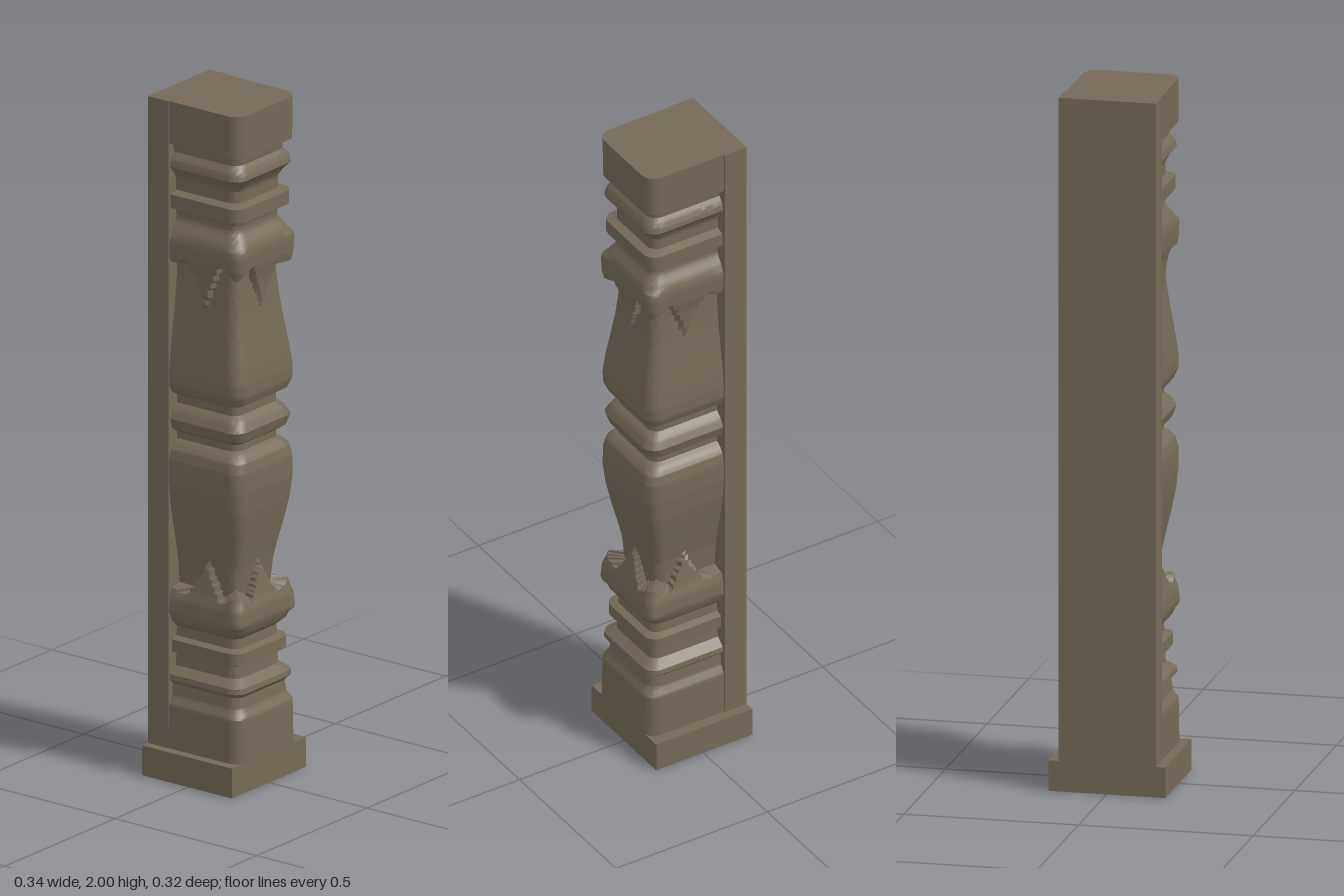
import * as THREE from 'three';
import { toCreasedNormals } from 'three/addons/utils/BufferGeometryUtils.js';

// [height, half width] of the turned and carved post, bottom to top
const PROFILE = [
  [0.08, 0.138], [0.215, 0.136], [0.24, 0.122], [0.275, 0.118], [0.29, 0.133], [0.305, 0.131], [0.325, 0.105],
  [0.36, 0.102], [0.37, 0.122], [0.405, 0.122], [0.412, 0.102], [0.44, 0.1], [0.455, 0.1], [0.5, 0.09],
  [0.57, 0.088], [0.64, 0.094], [0.7, 0.106], [0.76, 0.119], [0.82, 0.13], [0.88, 0.136], [0.94, 0.135],
  [0.97, 0.128], [0.985, 0.115], [0.995, 0.1], [1.015, 0.1], [1.03, 0.122], [1.06, 0.131], [1.085, 0.118],
  [1.1, 0.1], [1.125, 0.1], [1.14, 0.125], [1.165, 0.135], [1.2, 0.136], [1.26, 0.129], [1.33, 0.118],
  [1.4, 0.108], [1.48, 0.1], [1.56, 0.096], [1.62, 0.105], [1.66, 0.102], [1.675, 0.106], [1.682, 0.128],
  [1.722, 0.128], [1.73, 0.104], [1.765, 0.104], [1.785, 0.115], [1.805, 0.132], [1.825, 0.128],
  [1.845, 0.113], [1.865, 0.115], [1.875, 0.135], [2, 0.136],
];
// half widths of the leaf collars lying over the post
const LOWER_LEAF = [[0.44, 0.1], [0.46, 0.122], [0.49, 0.133], [0.53, 0.13], [0.56, 0.12], [0.65, 0.102]];
const UPPER_LEAF = [[1.41, 0.114], [1.5, 0.121], [1.54, 0.13], [1.585, 0.132], [1.61, 0.125], [1.64, 0.105]];

function sample(table, y) {
  let i = 1;
  while (i < table.length - 1 && table[i][0] < y) i++;
  const [y0, h0] = table[i - 1], [y1, h1] = table[i];
  return h0 + (h1 - h0) * THREE.MathUtils.clamp((y - y0) / (y1 - y0), 0, 1);
}

// Post half width; u runs from 0 at a face's middle to about 0.9 at a corner
function halfWidth(y, u) {
  let h = sample(PROFILE, y);
  const corner = THREE.MathUtils.smoothstep(u, 0.55, 0.9) * 0.008;
  const lowEdge = u < 0.5 ? 0.65 - 0.2 * u : 0.55 + 0.06 * (u - 0.5);
  const highEdge = u < 0.5 ? 1.41 + 0.26 * u : 1.54 - 0.08 * (u - 0.5);
  if (y > 0.44 && y < lowEdge) h = Math.max(h, sample(LOWER_LEAF, y) + (y > 0.48 ? corner : 0));
  if (y < 1.64 && y > highEdge) h = Math.max(h, sample(UPPER_LEAF, y) + (y < 1.6 ? corner : 0));
  return h;
}

// Unit section: a rounded square, open at the back
function unitSection() {
  const r = 0.3, half = [];
  for (let i = 0; i <= 14; i++) half.push([1, -0.7 + (i / 14) * (1.7 - r)]);
  for (let i = 1; i <= 6; i++) {
    const t = (i / 6) * Math.PI / 2;
    half.push([1 - r + r * Math.cos(t), 1 - r + r * Math.sin(t)]);
  }
  for (let i = 1; i <= 10; i++) half.push([(1 - r) * (1 - i / 10), 1]);
  const left = half.map(([a, b]) => [-a, b]);
  return [...left, ...half.slice(0, -1).reverse()];
}

function carvedPost() {
  const section = unitSection();
  const ys = PROFILE.map((p) => p[0]);
  for (let y = 0.085; y < 2; y += 0.008) ys.push(y);
  ys.sort((a, b) => a - b);
  const positions = [], index = [];
  const n = section.length + 2;
  const addRow = (y, scale) => {
    const row = section.map(([a, b]) => {
      const h = halfWidth(y, Math.min(Math.abs(a), Math.abs(b)));
      return [a * h * scale, (0.02 + b * h + 0.12) * scale - 0.12];
    });
    // the sides run straight back into the slab
    row.unshift([row[0][0], -0.12]);
    row.push([row[row.length - 1][0], -0.12]);
    for (const [x, z] of row) positions.push(x - 0.003, y, z);
  };
  for (const y of ys) addRow(y, 1);
  addRow(2, 0.001); // closes the top
  for (let j = 0; j < ys.length; j++) {
    for (let i = 0; i < n - 1; i++) {
      const a = j * n + i, b = a + n;
      index.push(a, a + 1, b + 1, a, b + 1, b);
    }
  }
  const geometry = new THREE.BufferGeometry();
  geometry.setAttribute('position', new THREE.Float32BufferAttribute(positions, 3));
  geometry.setIndex(index);
  return toCreasedNormals(geometry, 0.6);
}

export function createModel() {
  const group = new THREE.Group();
  group.name = 'carvedPilaster';
  const wood = new THREE.MeshStandardMaterial({ color: 0x756a58 });
  wood.name = 'brown wood';
  const add = (name, geometry) => {
    const mesh = new THREE.Mesh(geometry, wood);
    mesh.name = name;
    group.add(mesh);
    return mesh;
  };
  const box = (name, x0, x1, y0, y1, z0, z1) =>
    add(name, new THREE.BoxGeometry(x1 - x0, y1 - y0, z1 - z0))
      .position.set((x0 + x1) / 2, (y0 + y1) / 2, (z0 + z1) / 2);

  box('plinth', -0.168, 0.167, 0, 0.088, -0.162, 0.155);
  box('backSlab', -0.142, 0.138, 0.08, 2, -0.162, -0.09);
  add('carvedPost', carvedPost());
  return group;
}
